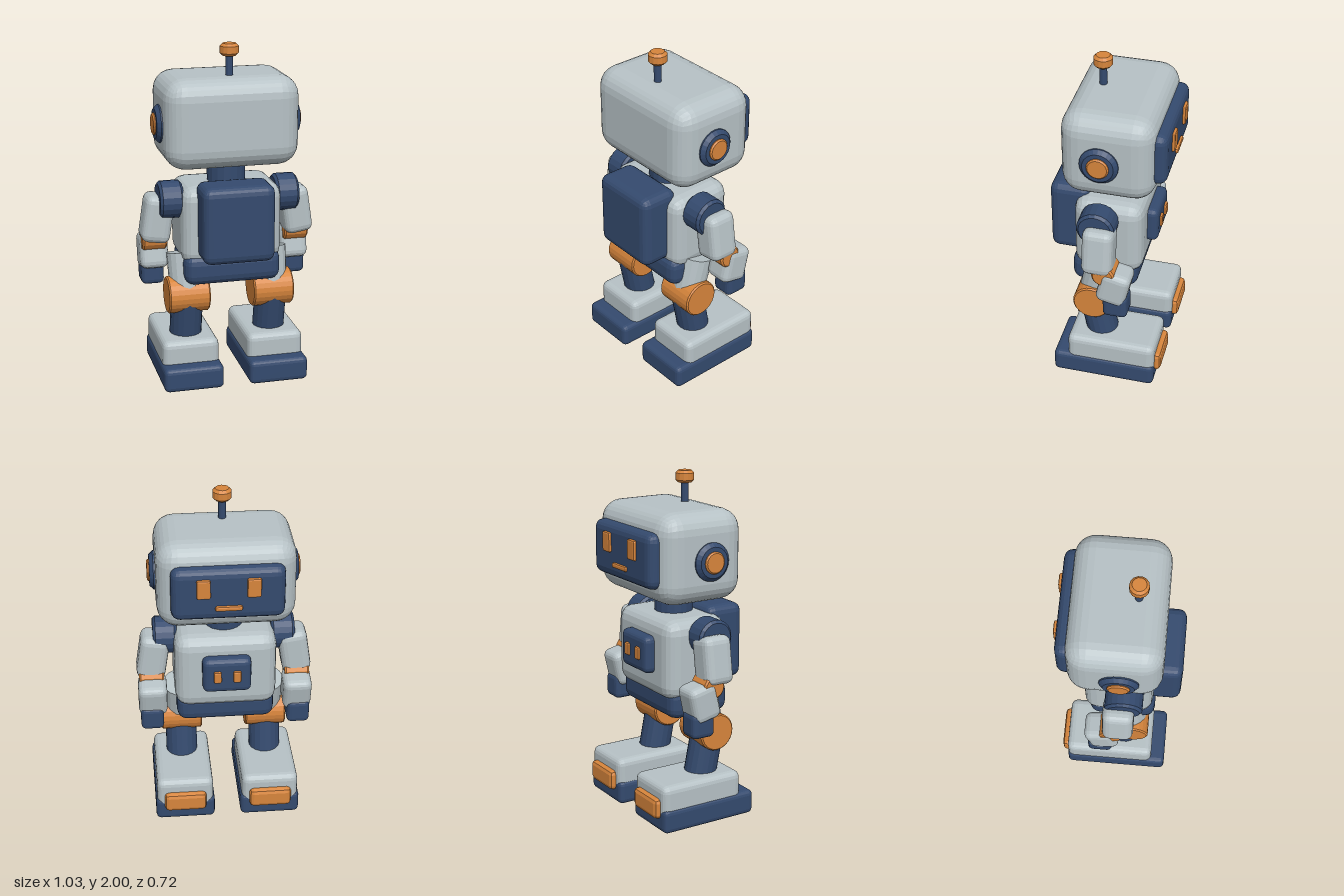
import * as THREE from 'three';
import { RoundedBoxGeometry } from 'three/addons/geometries/RoundedBoxGeometry.js';

const material = (name, color) => {
  const m = new THREE.MeshStandardMaterial({ color, flatShading: true });
  m.name = name;
  return m;
};

export function createModel() {
  const grey = material('light grey shell', 0xb6c1c5);
  const navy = material('navy', 0x344a6e);
  const orange = material('orange', 0xd7853c);
  const root = new THREE.Group();
  root.name = 'robot';

  const add = (parent, name, geometry, mat, x, y, z) => {
    const mesh = new THREE.Mesh(geometry, mat);
    mesh.name = name;
    mesh.position.set(x, y, z);
    parent.add(mesh);
    return mesh;
  };

  // bevelled box given by its size and centre
  const box = (parent, name, mat, [w, h, d], [x, y, z], radius, segments = 2) =>
    add(parent, name, new RoundedBoxGeometry(w, h, d, segments, radius), mat, x, y, z);

  // bevelled disc or drum, centred on its own y axis
  const drumGeometry = (r, h, bevel, sides) => new THREE.LatheGeometry([
    [0, -h / 2], [r - bevel, -h / 2], [r, -h / 2 + bevel],
    [r, h / 2 - bevel], [r - bevel, h / 2], [0, h / 2],
  ].map(([x, y]) => new THREE.Vector2(x, y)), sides);

  // drum lying along x
  const axle = (parent, name, mat, r, width, [x, y, z], bevel = 0.012, sides = 20) => {
    const mesh = add(parent, name, drumGeometry(r, width, bevel, sides), mat, x, y, z);
    mesh.rotation.z = -Math.PI / 2;
    return mesh;
  };

  // round limb between two points
  const limb = (parent, name, mat, rTop, rBottom, from, to) => {
    const a = new THREE.Vector3(...from), b = new THREE.Vector3(...to);
    const dir = b.clone().sub(a);
    const mid = a.clone().add(b).multiplyScalar(0.5);
    const mesh = add(parent, name, new THREE.CylinderGeometry(rTop, rBottom, dir.length(), 18),
      mat, mid.x, mid.y, mid.z);
    mesh.quaternion.setFromUnitVectors(new THREE.Vector3(0, 1, 0), dir.normalize());
    return mesh;
  };

  // head and face (the face looks toward -z)
  const head = new THREE.Group();
  head.name = 'head';
  root.add(head);
  box(head, 'headShell', grey, [0.78, 0.52, 0.535], [0, 1.56, -0.018], 0.12, 3);
  box(head, 'faceScreen', navy, [0.63, 0.315, 0.11], [0, 1.56, -0.288], 0.05);
  box(head, 'mouth', orange, [0.15, 0.03, 0.03], [0, 1.485, -0.343], 0.01, 1);
  add(head, 'antennaRod', new THREE.CylinderGeometry(0.022, 0.022, 0.16, 12), navy, 0, 1.87, 0.087);
  add(head, 'antennaTip', drumGeometry(0.054, 0.07, 0.015, 14), orange, 0, 1.965, 0.087);

  // trunk
  const trunk = new THREE.Group();
  trunk.name = 'trunk';
  root.add(trunk);
  add(trunk, 'neck', new THREE.CylinderGeometry(0.112, 0.112, 0.2, 18), navy, 0, 1.23, 0.012);
  box(trunk, 'torso', grey, [0.59, 0.47, 0.405], [0, 0.96, -0.002], 0.08);
  box(trunk, 'backpack', navy, [0.42, 0.45, 0.24], [0, 1.005, 0.24], 0.05);
  box(trunk, 'chestPanel', navy, [0.28, 0.22, 0.1], [0, 0.98, -0.215], 0.035);
  box(trunk, 'pelvis', navy, [0.57, 0.185, 0.39], [0, 0.705, 0.02], 0.06);

  for (const s of [-1, 1]) {
    const side = s > 0 ? 'left' : 'right';

    // paired details on head and chest
    box(head, side + 'Eye', orange, [0.077, 0.115, 0.03], [s * 0.138, 1.608, -0.345], 0.01, 1);
    axle(head, side + 'EarRing', navy, 0.11, 0.08, [s * 0.38, 1.545, 0.013], 0.022, 24);
    axle(head, side + 'EarCap', orange, 0.063, 0.07, [s * 0.398, 1.545, 0.013], 0.008, 20);
    box(trunk, side + 'Button', orange, [0.045, 0.075, 0.03], [s * 0.056, 0.983, -0.265], 0.01, 1);

    // arm
    const arm = new THREE.Group();
    arm.name = side + 'Arm';
    root.add(arm);
    axle(arm, 'shoulder', navy, 0.11, 0.138, [s * 0.343, 1.102, 0.037], 0.015);
    box(arm, 'upperArm', grey, [0.17, 0.28, 0.18], [s * 0.415, 0.99, 0.01], 0.045)
      .rotation.z = s * 0.15;
    axle(arm, 'elbow', orange, 0.068, 0.145, [s * 0.428, 0.853, -0.03], 0.01, 16);
    box(arm, 'forearm', grey, [0.168, 0.215, 0.175], [s * 0.425, 0.765, -0.085], 0.04)
      .rotation.x = -0.22;
    box(arm, 'hand', navy, [0.135, 0.15, 0.145], [s * 0.432, 0.638, -0.096], 0.03);

    // leg
    const leg = new THREE.Group();
    leg.name = side + 'Leg';
    root.add(leg);
    const x = s * 0.255;
    limb(leg, 'thigh', grey, 0.105, 0.098, [x, 0.55, 0.075], [x, 0.77, 0.02]);
    axle(leg, 'knee', orange, 0.11, 0.243, [s * 0.253, 0.53, 0.075], 0.008, 24);
    limb(leg, 'shin', navy, 0.095, 0.095, [x, 0.52, 0.085], [x, 0.2, 0.022]);
    box(leg, 'footShell', grey, [0.335, 0.2, 0.53], [x, 0.18, -0.05], 0.04);
    box(leg, 'sole', navy, [0.354, 0.145, 0.615], [x, 0.0725, -0.008], 0.03);
    box(leg, 'toeCap', orange, [0.25, 0.12, 0.08], [x, 0.142, -0.31], 0.025, 1);
  }
  return root;
}
